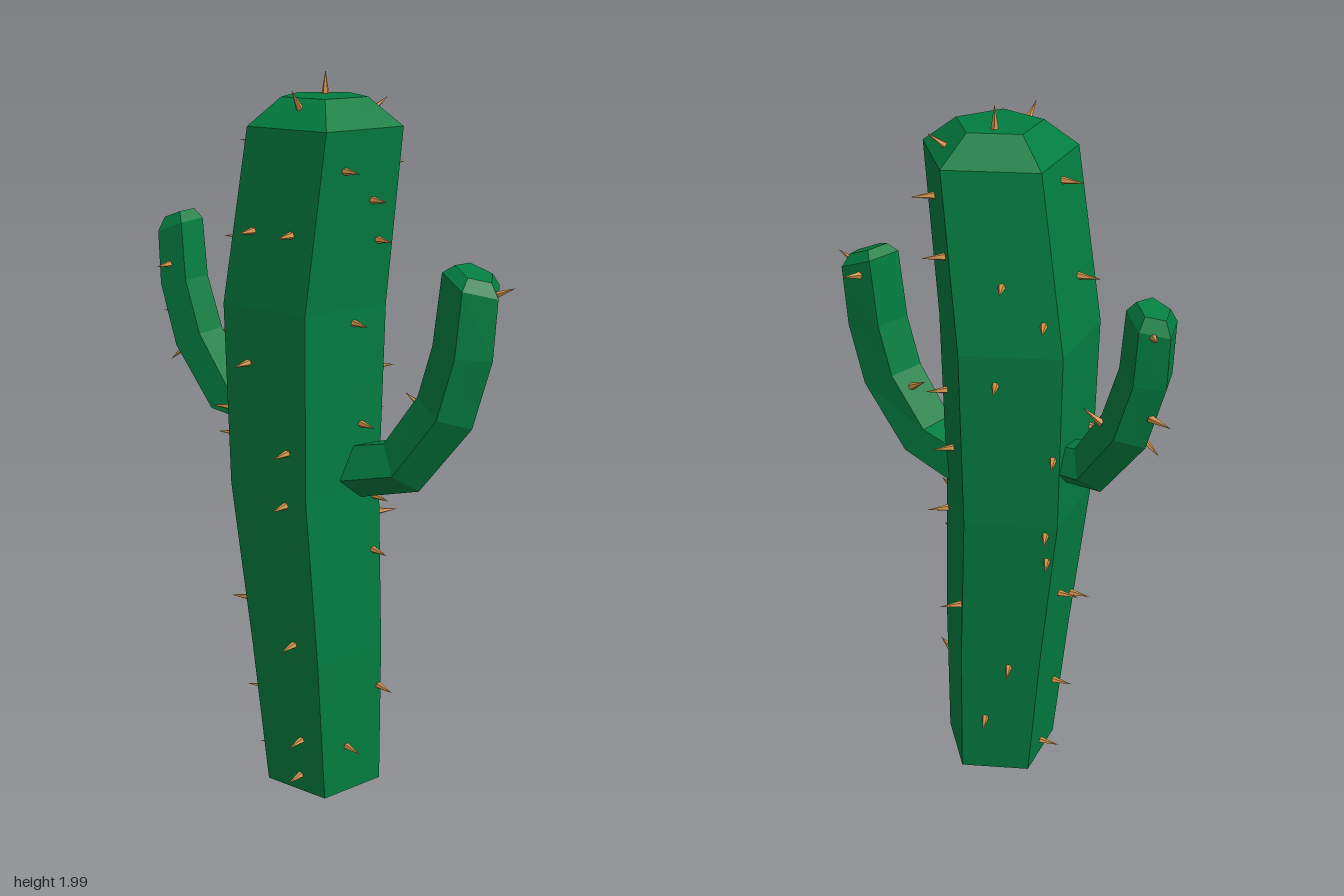
import * as THREE from 'three';

const green = new THREE.MeshStandardMaterial({ color: 0x027d40 });
green.name = 'cactus green';
const tan = new THREE.MeshStandardMaterial({ color: 0xd2924a });
tan.name = 'spine tan';

const SIDES = 5;
const rad = THREE.MathUtils.degToRad;

// Five-sided faceted stem swept along [x, y, z, radius] sections, closed at both ends.
// The tip section and the one below it face along tipDir; an upright stem keeps all sections level.
function stem(name, path, turn, tipDir, upright) {
  const centres = path.map(([x, y, z]) => new THREE.Vector3(x, y, z));
  const last = path.length - 1;
  const rings = path.map(([, , , r], i) => {
    const t = upright || i >= last - 1
      ? tipDir.clone().normalize()
      : centres[i + 1].clone().sub(centres[Math.max(i - 1, 0)]).setZ(0).normalize();
    const side = new THREE.Vector3(t.y, -t.x, 0);
    return Array.from({ length: SIDES }, (_, j) => {
      const ang = rad(turn + (j * 360) / SIDES);
      return centres[i].clone()
        .addScaledVector(side, r * Math.cos(ang))
        .add(new THREE.Vector3(0, 0, r * Math.sin(ang)));
    });
  });
  const pos = [];
  const tri = (...pts) => pts.forEach((p) => pos.push(p.x, p.y, p.z));
  for (let j = 0; j < SIDES; j++) {
    const k = (j + 1) % SIDES;
    for (let i = 0; i < last; i++) {
      tri(rings[i][j], rings[i + 1][j], rings[i + 1][k]);
      tri(rings[i][j], rings[i + 1][k], rings[i][k]);
    }
    tri(centres[last], rings[last][k], rings[last][j]);
    tri(centres[0], rings[0][j], rings[0][k]);
  }
  const geo = new THREE.BufferGeometry();
  geo.setAttribute('position', new THREE.Float32BufferAttribute(pos, 3));
  geo.computeVertexNormals();
  const mesh = new THREE.Mesh(geo, green);
  mesh.name = name;
  return mesh;
}

// Trunk sections
const trunk = [
  [0.03, 0, 0, 0.168], [0.005, 0.42, 0, 0.19], [-0.035, 0.9, 0, 0.212],
  [-0.035, 1.4, 0, 0.224], [0.03, 1.86, 0, 0.207], [0.028, 1.93, 0, 0.115],
];

// Arm sections, from inside the trunk to the bevelled tip
const rightArm = [
  [-0.14, 1.06, 0, 0.06], [-0.295, 1.085, 0, 0.07], [-0.405, 1.24, 0, 0.073],
  [-0.455, 1.4, 0, 0.07], [-0.468, 1.55, -0.006, 0.068], [-0.472, 1.583, -0.008, 0.045],
];
const leftArm = [
  [0.12, 0.945, -0.015, 0.08], [0.275, 0.985, -0.025, 0.083], [0.39, 1.15, -0.045, 0.087],
  [0.43, 1.31, -0.056, 0.086], [0.442, 1.485, -0.063, 0.084], [0.445, 1.513, -0.065, 0.055],
];

// Trunk spines as [height, angle]: 90 faces the front, 0 faces +x
const trunkSpines = [
  // front face
  [1.6, 110], [1.6, 72], [1.25, 107], [1.02, 69], [0.87, 72], [0.46, 77], [0.165, 77], [0.05, 82],
  // front face on the right
  [0.55, 135], [0.255, 150], [1.105, 135], [1.02, 145], [1.56, 155], [1.81, 165], [0.62, 172], [0.05, 168],
  // front face on the left
  [1.76, 35], [1.68, 3], [1.575, -6], [1.36, 10], [1.08, 0], [0.865, -14], [0.71, -12], [0.295, -16], [0.14, 25],
  // back face on the left
  [0.81, -22], [1.755, -50], [1.63, -76], [1.21, -36], [1.07, -57], [0.61, -86],
  // back face on the right
  [1.58, -125], [1.485, -153], [1.32, -114], [1.11, -158], [0.875, -155], [0.79, -158], [0.4, -135], [0.2, -112],
];

// Other spines as [base x, y, z, direction x, y, z]
const looseSpines = [
  // trunk top
  [0, 1.93, -0.045, 0, 1, 0], [0.035, 1.905, 0.115, 0, 0.8, 0.6], [0.09, 1.885, -0.12, 0.45, 0.6, -0.65],
  // right arm
  [-0.49, 1.3, -0.02, -1, -0.1, 0], [-0.44, 1.21, 0.02, -0.6, -0.6, 0.2], [-0.35, 1.25, -0.04, 0.9, 0.5, -0.2],
  [-0.46, 1.45, 0.05, 0, 0, 1], [-0.5, 1.53, -0.045, -0.6, 0.2, -0.6],
  // left arm
  [0.5, 1.46, -0.065, 0.9, 0.4, -0.2], [0.3, 1.14, -0.06, -0.85, 0.5, 0], [0.42, 1.46, -0.13, 0, 0.2, -1],
];

const spineGeo = new THREE.ConeGeometry(0.011, 0.065, 5).toNonIndexed();
spineGeo.translate(0, 0.0275, 0);
spineGeo.computeVertexNormals();

function spine(base, dir) {
  const mesh = new THREE.Mesh(spineGeo, tan);
  mesh.name = 'spine';
  mesh.position.copy(base);
  mesh.quaternion.setFromUnitVectors(new THREE.Vector3(0, 1, 0), dir.normalize());
  return mesh;
}

const outward = (deg) => new THREE.Vector3(Math.cos(rad(deg)), 0, Math.sin(rad(deg)));

// Spine standing square to the trunk face found at a given height and angle
function trunkSpine([y, angle]) {
  const i = trunk.findIndex((s) => s[1] > y);
  const [lo, hi] = [trunk[i - 1], trunk[i]];
  const t = (y - lo[1]) / (hi[1] - lo[1]);
  const cx = THREE.MathUtils.lerp(lo[0], hi[0], t);
  const r = THREE.MathUtils.lerp(lo[3], hi[3], t);
  const offFace = THREE.MathUtils.euclideanModulo(angle - 90 + 36, 72) - 36;
  const d = (r * Math.cos(rad(36))) / Math.cos(rad(offFace));
  return spine(new THREE.Vector3(cx, y, 0).addScaledVector(outward(angle), d), outward(angle - offFace));
}

export function createModel() {
  const model = new THREE.Group();
  model.name = 'cactus';
  model.add(
    stem('trunk', trunk, -90, new THREE.Vector3(0, 1, 0), true),
    stem('rightArm', rightArm, -99, new THREE.Vector3(-0.36, 0.93, 0), false),
    stem('leftArm', leftArm, -65, new THREE.Vector3(0.36, 0.93, 0), false),
  );
  const spines = new THREE.Group();
  spines.name = 'spines';
  trunkSpines.forEach((s) => spines.add(trunkSpine(s)));
  looseSpines.forEach(([x, y, z, u, v, w]) =>
    spines.add(spine(new THREE.Vector3(x, y, z), new THREE.Vector3(u, v, w))));
  model.add(spines);
  return model;
}
